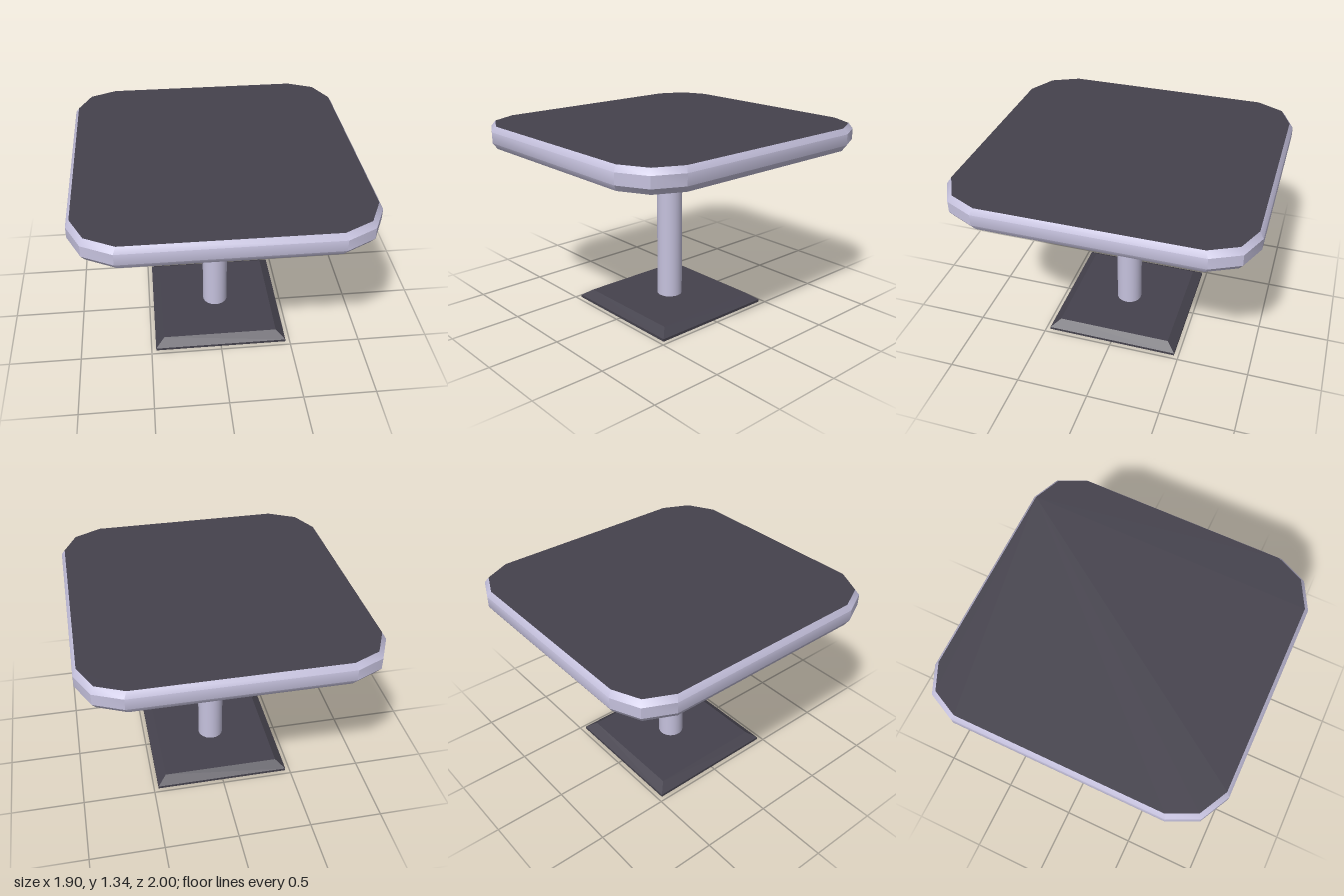
import * as THREE from 'three';
import { toCreasedNormals } from 'three/addons/utils/BufferGeometryUtils.js';

const light = new THREE.MeshStandardMaterial({ color: 0xc6c2de });
const dark = new THREE.MeshStandardMaterial({ color: 0x45424d });

// Rings are [scale, y]; each one is the outline scaled about the y axis.
function ringPositions(outline, rings) {
  return rings.flatMap(([s, y]) => outline.flatMap(([x, z]) => [x * s, y, z * s]));
}

function makeGeometry(positions, index, crease) {
  const geometry = new THREE.BufferGeometry();
  geometry.setAttribute('position', new THREE.Float32BufferAttribute(positions, 3));
  geometry.setIndex(index);
  return toCreasedNormals(geometry, crease);
}

// Side walls joining the rings from bottom to top
function wall(outline, rings, crease) {
  const n = outline.length, index = [];
  for (let r = 0; r < rings.length - 1; r++) {
    for (let i = 0; i < n; i++) {
      const a = r * n + i, b = r * n + (i + 1) % n;
      index.push(a, a + n, b + n, a, b + n, b);
    }
  }
  return makeGeometry(ringPositions(outline, rings), index, crease);
}

// Flat convex panel filling one ring
function panel(outline, ring, facesUp) {
  const index = [];
  for (let i = 1; i < outline.length - 1; i++) {
    index.push(0, ...(facesUp ? [i + 1, i] : [i, i + 1]));
  }
  return makeGeometry(ringPositions(outline, [ring]), index, 0.1);
}

export function createModel() {
  const group = new THREE.Group();
  const add = (name, geometry, material, parent = group) => {
    const mesh = new THREE.Mesh(geometry, material);
    mesh.name = name;
    parent.add(mesh);
    return mesh;
  };

  // Tabletop outline: left half mirrored to the right
  const half = [[0.95, -0.735], [0.95, 0.71], [0.86, 0.9], [0.67, 1]];
  const back = [[0.68, -1], [0.86, -0.92]];
  const mirror = (points) => points.map(([x, z]) => [-x, z]).reverse();
  const outline = [...back, ...half, ...mirror(half), ...mirror(back)];

  // Tabletop: rounded light rim with dark panels above and below
  const tabletop = new THREE.Group();
  tabletop.name = 'tabletop';
  group.add(tabletop);
  const rimRings = [[0.975, 1.19], [1, 1.23], [1, 1.305], [0.975, 1.343]];
  add('tabletopRim', wall(outline, rimRings, 0.6), light, tabletop);
  add('tabletopSurface', panel(outline, rimRings[3], true), dark, tabletop);
  add('tabletopUnderside', panel(outline, rimRings[0], false), dark, tabletop);

  // Column
  const column = add('column', new THREE.CylinderGeometry(0.09, 0.09, 1.14, 24), light);
  column.position.y = 0.625;

  // Square foot with a sloped upper edge
  const foot = new THREE.Group();
  foot.name = 'foot';
  group.add(foot);
  const square = [[1, -1], [1, 1], [-1, 1], [-1, -1]];
  const footRings = [[0.468, 0], [0.468, 0.018], [0.405, 0.064]];
  add('footSides', wall(square, footRings, 0.3), dark, foot);
  add('footTop', panel(square, footRings[2], true), dark, foot);
  add('footBottom', panel(square, footRings[0], false), dark, foot);

  return group;
}
